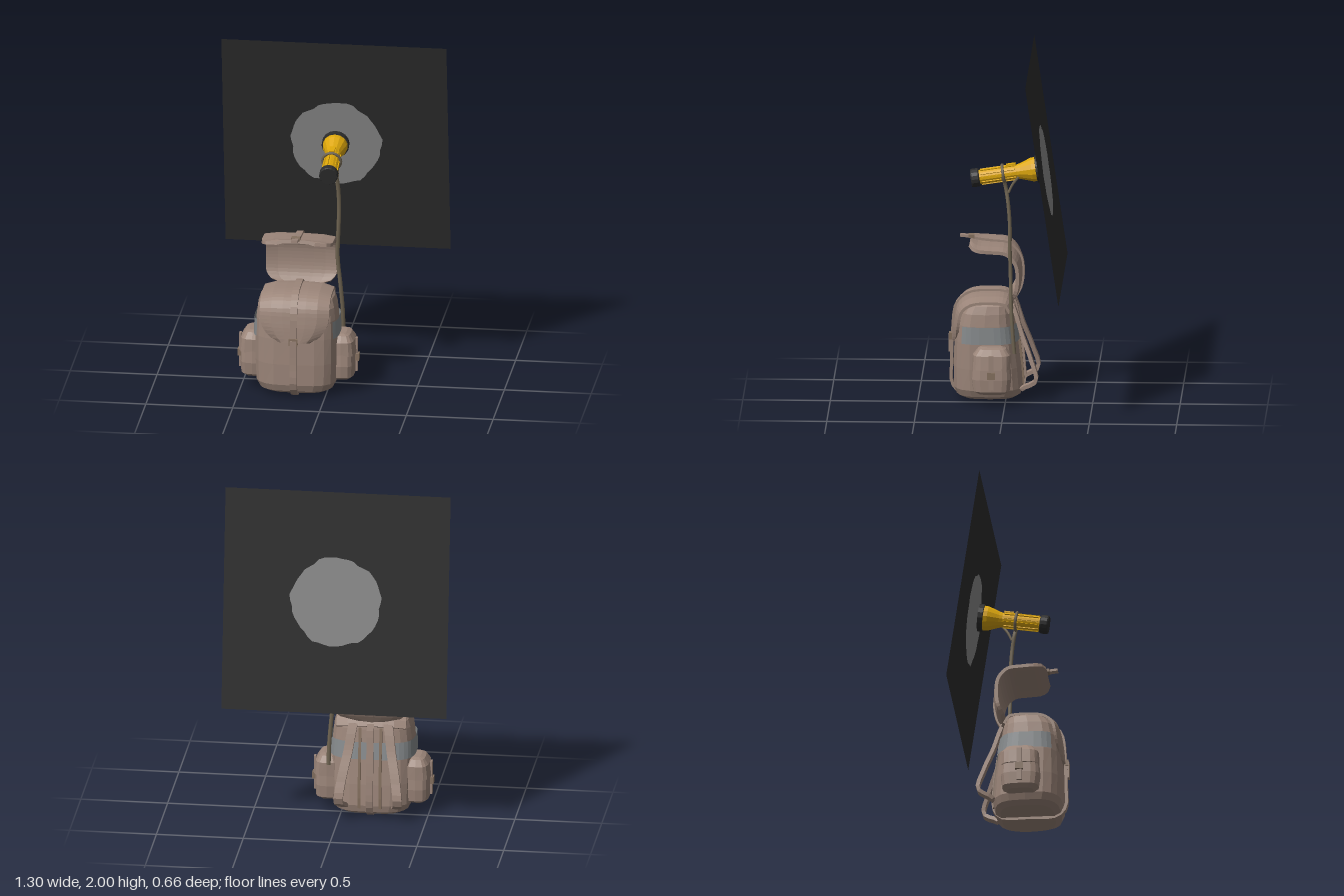
import * as THREE from 'three';

const mat = (name, color, extra = {}) => Object.assign(new THREE.MeshStandardMaterial({ color, ...extra }), { name });
const V = (x, y, z) => new THREE.Vector3(x, y, z);
const CX = -0.175; // middle of the backpack

// Faceted skin over rings that run counter-clockwise about the direction of travel
function skin(rings, closed = true) {
  const m = rings[0].length, pos = [], idx = [];
  rings.forEach(r => r.forEach(p => pos.push(p.x, p.y, p.z)));
  for (let i = 0; i < rings.length - 1; i++) {
    for (let j = 0; j < (closed ? m : m - 1); j++) {
      const a = i * m + j, b = i * m + (j + 1) % m;
      idx.push(a, b, b + m, a, b + m, a + m);
    }
  }
  if (closed) {
    const e = (rings.length - 1) * m;
    for (let j = 0; j < m / 2 - 1; j++) {
      const q = [j, j + 1, m - 2 - j, j, m - 2 - j, m - 1 - j];
      idx.push(...q.map(k => e + k), ...q.reverse());
    }
  }
  const g = new THREE.BufferGeometry();
  g.setAttribute('position', new THREE.Float32BufferAttribute(pos, 3));
  g.setIndex(idx);
  const flat = g.toNonIndexed();
  flat.computeVertexNormals();
  return flat;
}

// Rounded-rectangle ring: half width w, from z0 (back) to z1 (front)
function ring(cx, y, w, z0, z1, grow = 0, a0 = 0, a1 = Math.PI * 2, n = 20) {
  const pts = [], full = a1 - a0 > 6.2, pw = v => Math.sign(v) * Math.abs(v) ** 0.6;
  for (let i = 0; i < (full ? n : n + 1); i++) {
    const a = a0 + (a1 - a0) * i / n;
    pts.push(V(cx + pw(Math.cos(a)) * (w + grow), y, (z0 + z1) / 2 - pw(Math.sin(a)) * ((z1 - z0) / 2 + grow)));
  }
  return pts;
}

// Flat strap or flap swept along a path, its width along x, its edges dropped by "drop"
function sweep(path, half, thick, { drop = 0, steps = 20, n = 7, loop = false } = {}) {
  const curve = new THREE.CatmullRomCurve3(path, loop), rings = [];
  for (let i = 0; i <= steps; i++) {
    const t = i / steps, p = curve.getPointAt(t), T = curve.getTangentAt(t);
    const N = T.cross(V(1, 0, 0)).normalize(), w = typeof half === 'function' ? half(t) : half;
    const at = (u, h) => p.clone().addScaledVector(N, h - drop * u ** 4).add(V(u * w, 0, 0));
    const lo = [], hi = [];
    for (let k = 0; k < n; k++) {
      const u = -1 + 2 * k / (n - 1);
      lo.push(at(u, -thick / 2));
      hi.unshift(at(u, thick / 2));
    }
    rings.push([...lo, ...hi]);
  }
  return skin(rings);
}
const yz = (pairs, x = CX) => pairs.map(([z, y]) => V(x, y, z));

export function createModel() {
  const canvas = mat('canvas brown', 0x9b8579);
  const trim = mat('trim brown', 0x84705f);
  const bandGrey = mat('band grey', 0x85898b);
  const yellow = mat('torch yellow', 0xdca60a);
  const black = mat('rubber black', 0x2c2c2c);
  const cordMat = mat('cord olive', 0x706552);
  const boardMat = mat('board black', 0x2b2b2b, { side: THREE.DoubleSide });
  const spotMat = mat('light spot grey', 0x878787, { side: THREE.DoubleSide });

  const model = new THREE.Group();
  const add = (name, geo, material, parent = model) => {
    const mesh = new THREE.Mesh(geo, material);
    mesh.name = name;
    parent.add(mesh);
    return mesh;
  };
  const box = (name, w, h, d, x, y, z, material, parent) => {
    const b = add(name, new THREE.BoxGeometry(w, h, d), material, parent);
    b.position.set(x, y, z);
    return b;
  };

  // Tilted board with an uneven light spot let into it
  const board = new THREE.Group();
  board.name = 'board';
  board.position.set(0, 1.36, -0.235);
  board.rotation.x = 0.147;
  model.add(board);
  const rim = [];
  for (let i = 0; i < 48; i++) {
    const a = i / 48 * Math.PI * 2;
    const r = 0.26 + 0.005 * Math.sin(5 * a + 1) + 0.004 * Math.sin(11 * a) + 0.003 * Math.sin(17 * a);
    rim.push(new THREE.Vector2(Math.cos(a) * r, 0.005 + Math.sin(a) * r));
  }
  const s = 0.648;
  const sheet = new THREE.Shape([[-s, -s], [s, -s], [s, s], [-s, s]].map(p => new THREE.Vector2(...p)));
  sheet.holes.push(new THREE.Path(rim));
  add('boardSheet', new THREE.ShapeGeometry(sheet), boardMat, board);
  add('lightSpot', new THREE.ShapeGeometry(new THREE.Shape(rim)), spotMat, board);

  // Backpack body: height, half width, back, front
  const bag = new THREE.Group();
  bag.name = 'backpack';
  model.add(bag);
  const levels = [[0.015, 0.18, -0.06, 0.25], [0.035, 0.215, -0.09, 0.285], [0.075, 0.233, -0.1, 0.3],
    [0.2, 0.238, -0.09, 0.302], [0.35, 0.238, -0.07, 0.296], [0.45, 0.234, -0.055, 0.287],
    [0.52, 0.226, -0.045, 0.27], [0.565, 0.212, -0.035, 0.24], [0.592, 0.18, -0.01, 0.2]];
  add('bagBody', skin(levels.map(([y, w, b, f]) => ring(CX, y, w, b, f))), canvas, bag);

  // Grey band over the sides and back
  const band = levels.slice(4, 6).map(([y, w, b, f]) => ring(CX, y, w, b, f, 0.009, -0.6, Math.PI + 0.6, 24));
  const bandMesh = add('sideBand', skin(band, false), bandGrey, bag);
  bandMesh.material.side = THREE.DoubleSide;

  // Closed flap over the top and front
  add('closedFlap', sweep(yz([[-0.045, 0.54], [-0.01, 0.592], [0.1, 0.605], [0.21, 0.59], [0.27, 0.54],
    [0.292, 0.45], [0.303, 0.335]]), t => 0.2 * (t < 0.72 ? 1 : Math.sqrt(1 - ((t - 0.72) / 0.3) ** 2 * 0.85)),
  0.016, { drop: 0.024, steps: 26 }), canvas, bag);

  // Centre strap all around, with its buckle
  add('centreStrap', sweep(yz([[-0.1, 0.07], [-0.1, 0.2], [-0.075, 0.4], [-0.045, 0.56], [0.0, 0.608], [0.1, 0.616],
    [0.22, 0.6], [0.287, 0.53], [0.306, 0.4], [0.313, 0.2], [0.31, 0.07], [0.26, 0.015], [0.1, 0.01], [-0.06, 0.018]]),
  0.02, 0.018, { loop: true, steps: 48, n: 2 }), canvas, bag);
  box('buckle', 0.05, 0.04, 0.022, CX, 0.345, 0.317, trim, bag);
  box('buckleTongue', 0.036, 0.1, 0.014, CX, 0.305, 0.324, canvas, bag);

  // Side pockets, shoulder straps and back seams, mirrored
  for (const d of [-1, 1]) {
    const pocket = new THREE.Group();
    pocket.name = d > 0 ? 'leftPocket' : 'rightPocket';
    bag.add(pocket);
    const px = CX + d * 0.255;
    add('pocketBody', skin([[0.07, 0.045, 0, 0.15], [0.09, 0.07, -0.03, 0.18], [0.16, 0.075, -0.038, 0.19],
      [0.25, 0.07, -0.032, 0.182], [0.31, 0.058, -0.02, 0.165], [0.335, 0.03, 0, 0.145]]
      .map(([y, w, b, f]) => ring(px, y, w, b, f, 0, 0, Math.PI * 2, 16))), canvas, pocket);
    add('pocketFlap', skin([[0.22, 0.078, -0.03, 0.18], [0.3, 0.068, -0.03, 0.178], [0.335, 0.045, -0.005, 0.15],
      [0.345, 0.02, 0.02, 0.13]].map(([y, w, b, f]) => ring(px, y, w, b, f, 0.004, 0, Math.PI * 2, 16))), canvas, pocket);
    box('pocketStrap', 0.012, 0.2, 0.03, px + d * 0.08, 0.205, 0.075, canvas, pocket);
    box('pocketBuckle', 0.022, 0.04, 0.045, px + d * 0.084, 0.19, 0.075, trim, pocket);

    const strap = [[0.07, 0.07, -0.09], [0.08, 0.155, -0.1], [0.125, 0.17, -0.175], [0.25, 0.155, -0.145],
      [0.4, 0.125, -0.09], [0.5, 0.11, -0.06], [0.555, 0.1, -0.04]].map(([y, x, z]) => V(CX + d * x, y, z));
    strap[0].x = CX + d * 0.15;
    add('shoulderStrap', sweep(strap, 0.026, 0.022, { n: 2, steps: 18 }), canvas, bag);
    add('backSeam', sweep(yz([[-0.095, 0.06], [-0.097, 0.12], [-0.075, 0.35], [-0.045, 0.53]], CX + d * 0.06),
      0.008, 0.014, { n: 2, steps: 8 }), trim, bag);
  }

  // Open lid floating above the bag
  const lidEnds = t => {
    const u = Math.min(1, t / 0.16, (1 - t) / 0.14);
    return 0.11 + 0.095 * Math.sqrt(1 - (1 - u) ** 2);
  };
  add('openLid', sweep(yz([[-0.035, 0.575], [-0.07, 0.64], [-0.082, 0.73], [-0.068, 0.82], [-0.01, 0.882],
    [0.08, 0.894], [0.16, 0.9], [0.205, 0.915]]), lidEnds, 0.02, { drop: 0.012, steps: 26 }), canvas);
  add('lidStrap', sweep(yz([[-0.05, 0.575], [-0.085, 0.64], [-0.098, 0.73], [-0.08, 0.83], [-0.015, 0.897],
    [0.08, 0.91], [0.16, 0.92], [0.21, 0.931], [0.265, 0.937]]), 0.019, 0.014, { n: 2, steps: 26 }), canvas);
  box('lidBuckle', 0.05, 0.018, 0.035, CX, 0.932, 0.2, trim);

  // Torch, its length along local y
  const torch = new THREE.Group();
  torch.name = 'torch';
  torch.position.set(0.007, 1.345, 0);
  torch.quaternion.setFromUnitVectors(V(0, 1, 0), V(-0.02, 0.15, -0.99).normalize());
  model.add(torch);
  const lathe = (pts, n) => {
    const g = new THREE.LatheGeometry(pts.map(p => new THREE.Vector2(...p)), n).toNonIndexed();
    g.computeVertexNormals();
    return g;
  };
  add('torchBody', lathe([[0.042, -0.16], [0.042, 0.07], [0.047, 0.09], [0.07, 0.155], [0.072, 0.185]], 14), yellow, torch);
  add('tailCap', lathe([[0, -0.197], [0.05, -0.197], [0.054, -0.19], [0.054, -0.155], [0.049, -0.148], [0, -0.148]], 16), black, torch);
  add('headRing', lathe([[0.071, 0.178], [0.079, 0.18], [0.079, 0.208], [0.068, 0.208], [0.066, 0.196]], 16), black, torch);
  add('lens', lathe([[0.069, 0.195], [0, 0.198]], 16), spotMat, torch);
  for (let i = 0; i < 10; i++) {
    const a = (i + 0.5) / 10 * Math.PI * 2;
    const rib = box('gripRib', 0.012, 0.2, 0.01, Math.sin(a) * 0.042, -0.04, Math.cos(a) * 0.042, yellow, torch);
    rib.rotation.y = a;
  }
  box('switch', 0.03, 0.055, 0.012, 0, 0.04, 0.047, yellow, torch);

  // Cord from the bag to the torch, a brace and a loop round the grip
  const tube = (name, pts, r) => add(name,
    new THREE.TubeGeometry(new THREE.CatmullRomCurve3(pts.map(p => V(...p))), 30, r, 6), cordMat);
  tube('cord', [[0.066, 0.3, -0.055], [0.064, 0.42, -0.045], [0.052, 0.58, -0.035], [0.036, 0.75, -0.032],
    [0.04, 0.9, -0.028], [0.045, 1.05, -0.028], [0.04, 1.18, -0.018], [0.03, 1.28, -0.002], [0.055, 1.34, 0.012]], 0.012);
  tube('cordBrace', [[0.036, 1.24, -0.02], [0.035, 1.29, -0.045], [0.04, 1.335, -0.08]], 0.008);
  const loop = add('cordLoop', new THREE.TorusGeometry(0.052, 0.009, 6, 18), cordMat);
  loop.position.set(0.007, 1.343, 0.01);
  loop.rotation.x = 0.15;
  return model;
}
